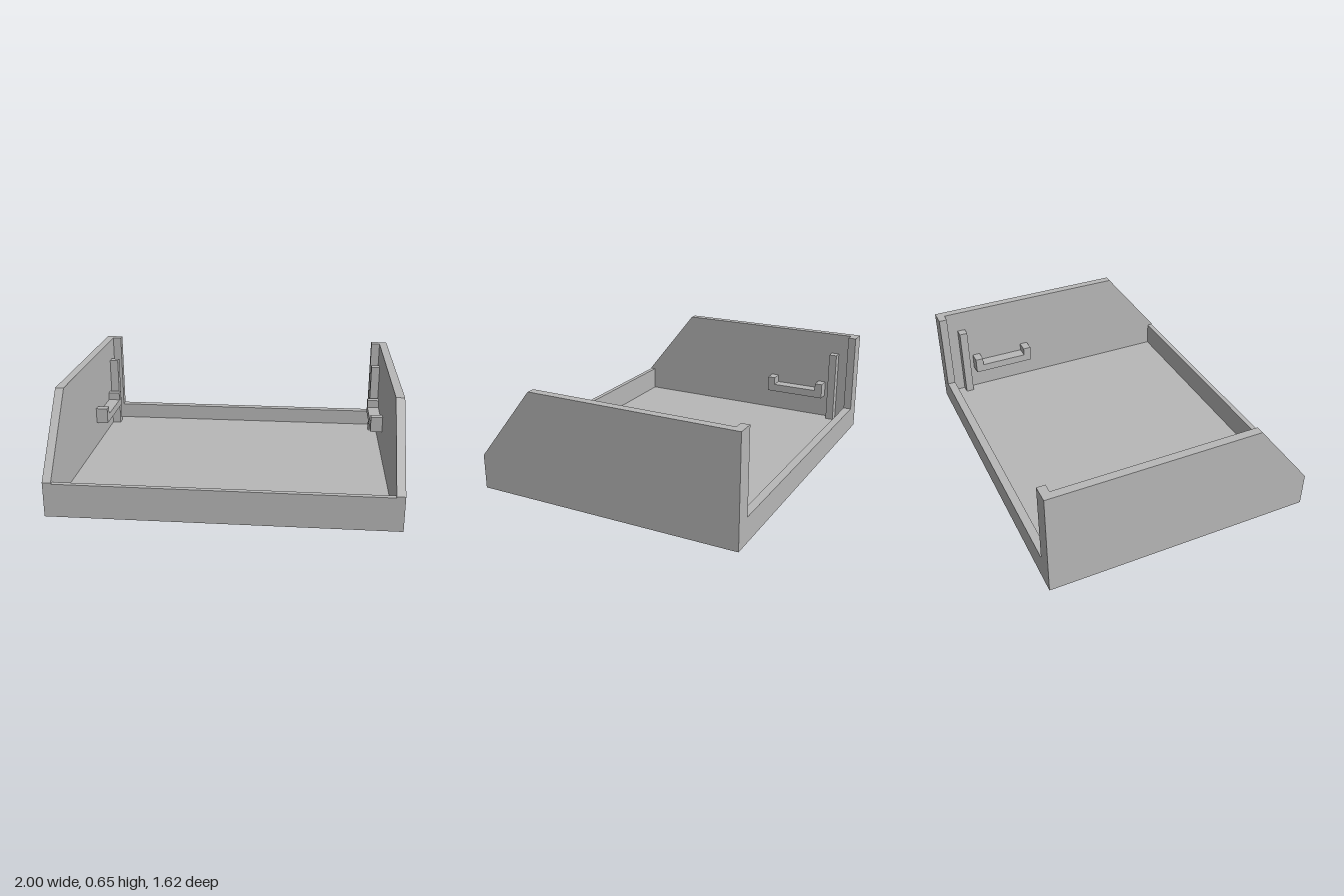
import * as THREE from 'three';

export function createModel() {
  const group = new THREE.Group();
  const grey = new THREE.MeshStandardMaterial({ color: 0xb8b8b8 });
  grey.name = 'plain grey';

  function add(name, geometry) {
    const mesh = new THREE.Mesh(geometry, grey);
    mesh.name = name;
    group.add(mesh);
  }

  // Box given by its minimum and maximum corners
  function box(name, x0, x1, y0, y1, z0, z1) {
    const g = new THREE.BoxGeometry(x1 - x0, y1 - y0, z1 - z0);
    g.translate((x0 + x1) / 2, (y0 + y1) / 2, (z0 + z1) / 2);
    add(name, g);
  }

  // Outline (z, y) extruded across x from x0 to x1
  function slab(name, points, x0, x1) {
    const shape = new THREE.Shape(points.map(([z, y]) => new THREE.Vector2(-z, y)));
    const g = new THREE.ExtrudeGeometry(shape, { depth: x1 - x0, bevelEnabled: false });
    g.rotateY(Math.PI / 2).translate(x0, 0, 0);
    add(name, g);
  }

  // Tray floor with low front and back walls
  box('floor', -0.95, 0.95, 0, 0.05, -0.76, 0.78);
  box('frontWall', -0.95, 0.95, 0, 0.2, 0.78, 0.81);
  box('backWall', -0.9, 0.9, 0, 0.15, -0.81, -0.76);

  // Side wall sloping down to the front, and U-shaped bracket
  const wall = [[0.81, 0], [-0.81, 0], [-0.81, 0.65], [0.455, 0.65], [0.81, 0.207]];
  const bracket = [[-0.2, 0.2], [-0.6, 0.2], [-0.6, 0.3], [-0.55, 0.3],
    [-0.55, 0.25], [-0.25, 0.25], [-0.25, 0.3], [-0.2, 0.3]];

  for (const s of [-1, 1]) {
    const side = s > 0 ? 'left' : 'right';
    const span = (a, b) => (s > 0 ? [a, b] : [-b, -a]);
    slab(side + 'SideWall', wall, ...span(0.95, 1));
    slab(side + 'Bracket', bracket, ...span(0.875, 0.95));
    // Back corner flange and the guide post in front of it
    box(side + 'BackFlange', ...span(0.895, 0.95), 0, 0.65, -0.81, -0.76);
    box(side + 'GuidePost', ...span(0.895, 0.95), 0.05, 0.515, -0.685, -0.635);
  }
  return group;
}
